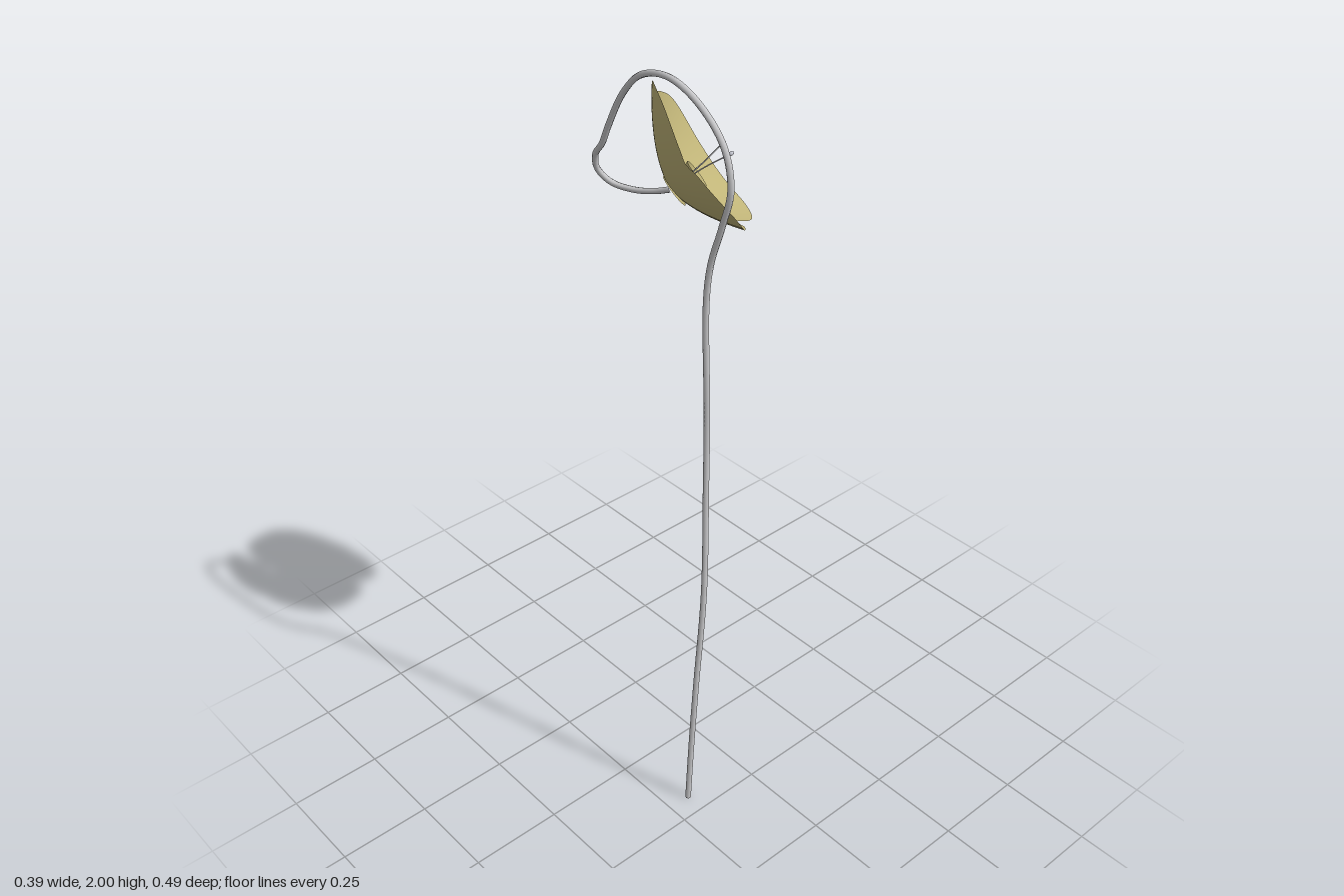
import * as THREE from 'three';

const V = (p) => new THREE.Vector3(...p);

// Depth of the flower bowl at a distance r from its axis
const bowl = (r) => 0.1 * Math.pow(r / 0.2, 1.6);

// One cupped lobe: rings shrinking from a smooth outline to the flower centre
function lobeGeometry(outline, rings = 14, segments = 90) {
  const curve = new THREE.CatmullRomCurve3(outline.map(([x, y]) => V([x, y, 0])), false, 'centripetal');
  const rim = curve.getSpacedPoints(segments);
  const positions = [], index = [];
  for (let i = 0; i <= rings; i++) {
    for (const p of rim) {
      const x = p.x * i / rings, y = p.y * i / rings;
      positions.push(x, y, bowl(Math.hypot(x, y)));
    }
  }
  const row = segments + 1;
  for (let i = 0; i < rings; i++) {
    for (let j = 0; j < segments; j++) {
      const a = i * row + j, b = a + row;
      if (i > 0) index.push(a, b + 1, a + 1);
      index.push(a, b, b + 1);
    }
  }
  const g = new THREE.BufferGeometry();
  g.setAttribute('position', new THREE.Float32BufferAttribute(positions, 3));
  g.setIndex(index);
  g.computeVertexNormals();
  return g;
}

export function createModel() {
  const model = new THREE.Group();
  const petalColor = new THREE.MeshStandardMaterial({ name: 'petal straw yellow', color: 0xc0b478, side: THREE.DoubleSide });
  const stemColor = new THREE.MeshStandardMaterial({ name: 'stem light grey', color: 0xc9c9cb });
  const antherColor = new THREE.MeshStandardMaterial({ name: 'anther pale grey', color: 0xd2d4de });
  const add = (parent, name, geometry, material) => {
    const mesh = new THREE.Mesh(geometry, material);
    mesh.name = name;
    parent.add(mesh);
    return mesh;
  };

  const base = [-0.01, 1.67, -0.06];
  const foot = [-0.187, 0, 0.194];

  // Long stem that arches over and hooks back up into the flower
  const path = new THREE.CatmullRomCurve3([
    foot, [-0.174, 0.2, 0.194], [-0.161, 0.4, 0.197], [-0.136, 0.7, 0.198], [-0.115, 1.0, 0.18],
    [-0.105, 1.2, 0.171], [-0.102, 1.5, 0.163], [-0.101, 1.6, 0.176], [-0.1, 1.7, 0.209],
    [-0.1, 1.8, 0.236], [-0.1, 1.89, 0.212], [-0.1, 1.963, 0.13], [-0.1, 1.992, 0.035],
    [-0.1, 1.97, -0.055], [-0.1, 1.91, -0.117], [-0.1, 1.82, -0.17], [-0.099, 1.765, -0.198],
    [-0.096, 1.728, -0.228], [-0.084, 1.685, -0.238], [-0.063, 1.652, -0.215],
    [-0.04, 1.643, -0.165], [-0.023, 1.652, -0.11], base,
  ].map(V), false, 'centripetal');
  add(model, 'stem', new THREE.TubeGeometry(path, 220, 0.0076, 8), stemColor);
  const cut = add(model, 'stemCut', new THREE.CircleGeometry(0.0076, 8), stemColor);
  cut.rotation.x = Math.PI / 2;
  cut.position.set(...foot);

  // Flower frame: local z is the flower axis, local y its upper side
  const flower = new THREE.Group();
  flower.name = 'flower';
  const axis = V([0.68, 0.6, 0.43]).normalize();
  const side = V([0, 1, 0]).cross(axis).normalize();
  const upper = axis.clone().cross(side);
  flower.quaternion.setFromRotationMatrix(new THREE.Matrix4().makeBasis(side, upper, axis));
  flower.position.set(...base);
  model.add(flower);

  // Two lobes, parted by a deep slot above and a small notch below
  add(flower, 'leftPetal', lobeGeometry([
    [-0.02, -0.15], [0.005, -0.19], [0.03, -0.198], [0.08, -0.184], [0.135, -0.135], [0.183, -0.06],
    [0.205, 0.03], [0.194, 0.095], [0.158, 0.138], [0.11, 0.165], [0.075, 0.16], [0.046, 0.115],
    [0.028, 0.07], [0.012, 0.04],
  ]), petalColor);
  add(flower, 'rightPetal', lobeGeometry([
    [0.012, 0.04], [0.004, 0.068], [0.017, 0.11], [0.035, 0.16], [0.044, 0.2], [0.028, 0.225],
    [-0.02, 0.23], [-0.08, 0.211], [-0.12, 0.173], [-0.144, 0.125], [-0.15, 0.1], [-0.177, 0.065],
    [-0.192, 0], [-0.184, -0.06], [-0.15, -0.112], [-0.09, -0.153], [-0.04, -0.168], [-0.02, -0.15],
  ]), petalColor);

  // Small flared trumpet in the middle
  const profile = new THREE.SplineCurve([
    [0.042, 0.004], [0.029, 0.014], [0.024, 0.032], [0.028, 0.052], [0.036, 0.07],
  ].map(([r, h]) => new THREE.Vector2(r, h)));
  const trumpet = add(flower, 'trumpet', new THREE.LatheGeometry(profile.getPoints(16), 28).rotateX(Math.PI / 2), petalColor);
  trumpet.position.set(-0.004, -0.006, 0);

  // Thin stamens tipped with anthers
  for (const tip of [[-0.004, 0.015, 0.161], [-0.014, -0.014, 0.161]]) {
    const bend = [tip[0] * 0.4, tip[1] * 0.3, 0.09];
    const curve = new THREE.CatmullRomCurve3([[0, 0, 0.005], bend, tip].map(V));
    add(flower, 'stamen', new THREE.TubeGeometry(curve, 12, 0.0017, 6), stemColor);
    const anther = add(flower, 'anther', new THREE.SphereGeometry(0.006, 10, 8), antherColor);
    anther.scale.set(1, 0.8, 1.2);
    anther.position.set(...tip);
  }
  return model;
}
